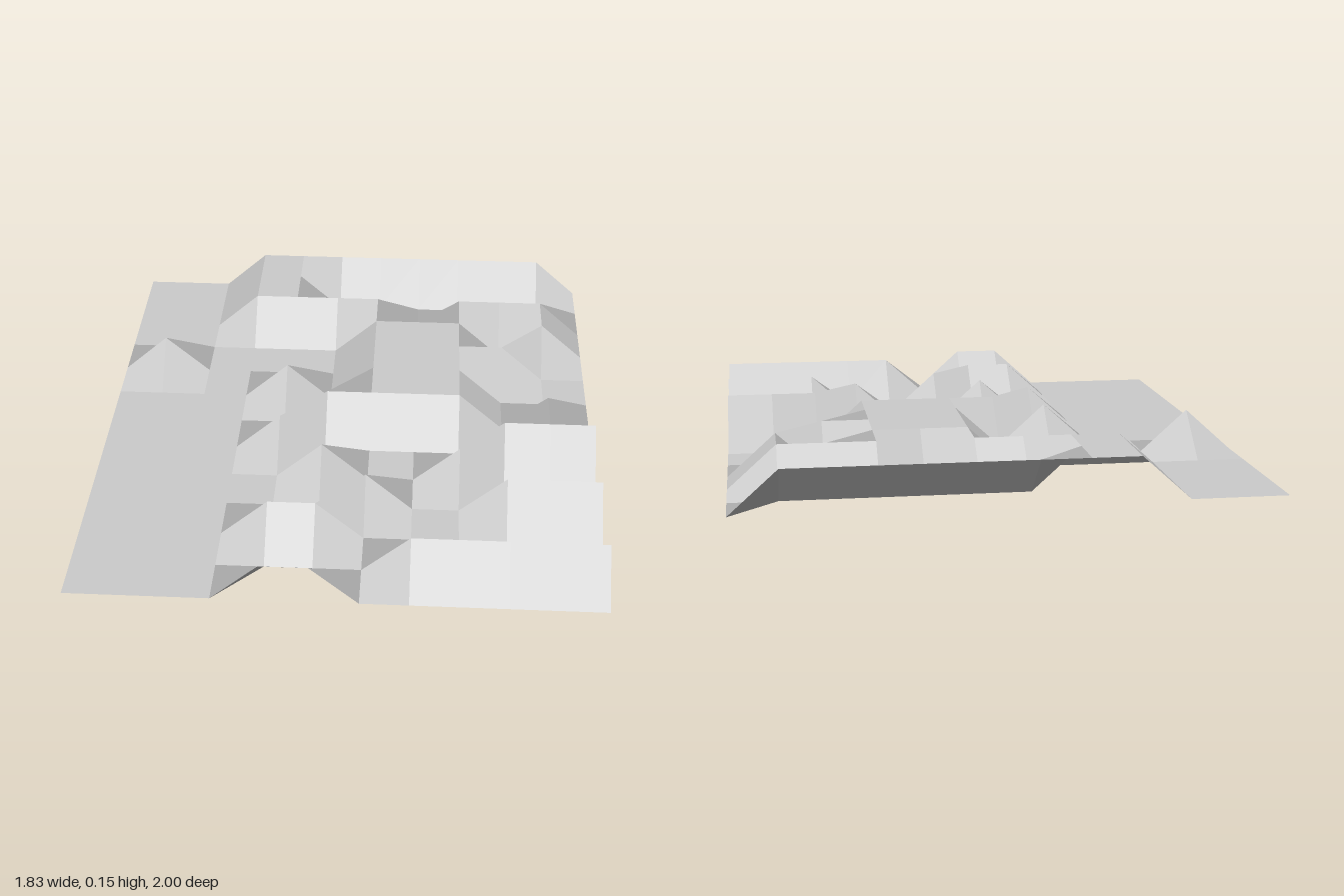
import * as THREE from 'three';

const CELL = 1 / 6, HEIGHT = 0.15;

// Raised (1) and low (0) grid points: each row runs left to right along x, rows from back to front
const ROWS = [
  '000111111110',
  '000110000000',
  '000111101110',
  '000000111010',
  '010000111100',
  '000010111000',
  '000001111010',
  '000010000111',
  '000001001000',
  '000000100111',
  '000011000000',
  '000000011111',
  '000011000000',
];

function terrainGeometry() {
  const nx = ROWS[0].length - 1, nz = ROWS.length - 1;
  const point = (i, j) => new THREE.Vector3(
    (i - nx / 2) * CELL, Number(ROWS[j][i]) * HEIGHT, (j - nz / 2) * CELL);
  const positions = [], normals = [];

  for (let j = 0; j < nz; j++) {
    for (let i = 0; i < nx; i++) {
      const nw = point(i, j), ne = point(i + 1, j);
      const sw = point(i, j + 1), se = point(i + 1, j + 1);
      // One flat normal per tile, from its two diagonals
      const normal = ne.clone().sub(sw).cross(nw.clone().sub(se)).normalize();
      for (const p of [nw, sw, ne, sw, se, ne]) {
        positions.push(...p.toArray());
        normals.push(...normal.toArray());
      }
    }
  }

  const geometry = new THREE.BufferGeometry();
  geometry.setAttribute('position', new THREE.Float32BufferAttribute(positions, 3));
  geometry.setAttribute('normal', new THREE.Float32BufferAttribute(normals, 3));
  return geometry;
}

export function createModel() {
  const group = new THREE.Group();
  group.name = 'terrainTile';

  // Thin open sheet of faceted hills, visible from both sides
  const terrain = new THREE.Mesh(
    terrainGeometry(),
    new THREE.MeshStandardMaterial({ color: 0xcccccc, side: THREE.DoubleSide }));
  terrain.name = 'terrainSurface';
  group.add(terrain);
  return group;
}
